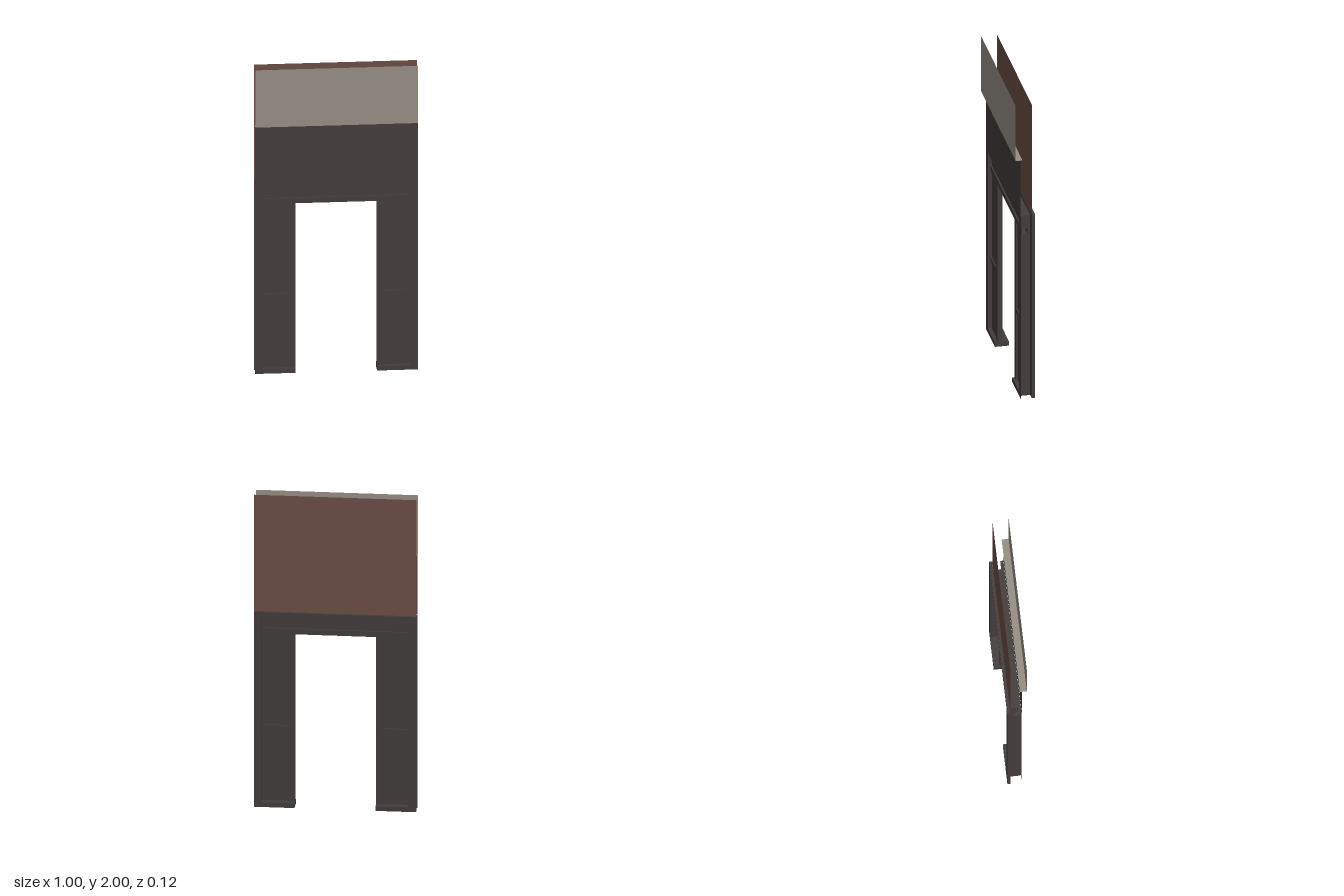
import * as THREE from 'three';

export function createModel() {
  const model = new THREE.Group();
  model.name = 'shopfrontDoorway';

  const colour = (name, hex) => {
    const m = new THREE.MeshStandardMaterial({ color: hex, side: THREE.DoubleSide });
    m.name = name;
    return m;
  };
  const dark = colour('dark painted wood', 0x433d3c);
  const stone = colour('pale stone', 0x968e85);
  const brick = colour('brown brick', 0x6b4e45);

  const add = (name, geometry, material = dark) => {
    const mesh = new THREE.Mesh(geometry, material);
    mesh.name = name;
    model.add(mesh);
    return mesh;
  };
  const box = (name, x0, x1, y0, y1, z0, z1) => add(name,
    new THREE.BoxGeometry(Math.abs(x1 - x0), y1 - y0, z1 - z0)
      .translate((x0 + x1) / 2, (y0 + y1) / 2, (z0 + z1) / 2));
  // Flat sheets facing z, y and x
  const upright = (name, x0, x1, y0, y1, z, mat) => add(name,
    new THREE.PlaneGeometry(x1 - x0, y1 - y0).translate((x0 + x1) / 2, (y0 + y1) / 2, z), mat);
  const level = (name, x0, x1, y, z0, z1, mat) => add(name,
    new THREE.PlaneGeometry(x1 - x0, z1 - z0).rotateX(-Math.PI / 2)
      .translate((x0 + x1) / 2, y, (z0 + z1) / 2), mat);
  const side = (name, x, y0, y1, z0, z1) => add(name,
    new THREE.PlaneGeometry(z1 - z0, y1 - y0).rotateY(Math.PI / 2)
      .translate(x, (y0 + y1) / 2, (z0 + z1) / 2));

  const W = 0.5, IN = 0.453, DOOR = 0.25, STILE = 0.287;
  const BASE = 0.03, LINTEL = 1.105, HEAD = 1.14, SOFFIT = 1.225;
  const FRONT = 0.028, BACK = -0.06, BACK_IN = -0.041;
  const RAIL_F = 0.013, RAIL_B = -0.021, PANEL_F = 0.003, PANEL_B = -0.011;

  // Outer surround: stiles, head strip and feet in one outline
  const surround = top => new THREE.Shape([
    [-W, 0], [-DOOR, 0], [-DOOR, BASE], [-IN, BASE], [-IN, SOFFIT], [IN, SOFFIT],
    [IN, BASE], [DOOR, BASE], [DOOR, 0], [W, 0], [W, top], [-W, top],
  ].map(p => new THREE.Vector2(...p)));
  add('frontSurround', new THREE.ShapeGeometry(surround(1.245)).translate(0, 0, FRONT));
  add('backSurround', new THREE.ExtrudeGeometry(surround(1.253),
    { depth: BACK_IN - BACK, bevelEnabled: false }).translate(0, 0, BACK));
  level('headSoffit', -IN, IN, SOFFIT, BACK_IN, FRONT);

  // Two panelled piers, mirrored
  for (const s of [-1, 1]) {
    box('pierFoot', s * DOOR, s * IN, 0, BASE, BACK, FRONT - 0.0005);
    box('innerStile', s * DOOR, s * STILE, BASE, LINTEL, RAIL_B, RAIL_F);
    box('middleRail', s * STILE, s * IN, 0.49, 0.517, RAIL_B, RAIL_F);
    box('pierPanel', s * STILE, s * IN, BASE, LINTEL, PANEL_B, PANEL_F);
    side('pierReturn', s * IN, BASE, LINTEL, BACK_IN, FRONT);
    side('headReturn', s * IN, HEAD, SOFFIT, BACK_IN, FRONT);
    side('frontLintelReturn', s * IN, LINTEL, HEAD, RAIL_F, FRONT);
    side('backLintelReturn', s * IN, LINTEL, HEAD, BACK_IN, RAIL_B);
  }

  // Hollow lintel rail, open at both ends, and the panel over it
  const L = 0.463;
  upright('lintelFront', -L, L, LINTEL, HEAD, RAIL_F);
  upright('lintelBack', -L, L, LINTEL, HEAD, RAIL_B);
  level('lintelBottom', -L, L, LINTEL, RAIL_B, RAIL_F);
  level('lintelTop', -L, L, HEAD, RAIL_B, RAIL_F);
  box('headPanel', -IN, IN, HEAD, SOFFIT, PANEL_B, PANEL_F);

  // Sign board, upper facade and rear wall
  level('signLedge', -W, W, 1.245, 0.008, FRONT);
  upright('signBoard', -W, W, 1.245, 1.625, FRONT + 0.001);
  level('facadeLedge', -W, W, 1.625, 0.017, 0.06, stone);
  upright('upperFacade', -W, W, 1.625, 2, 0.06, stone);
  upright('rearWall', -W, W, 1.245, 2, -0.0405, brick);

  return model;
}
